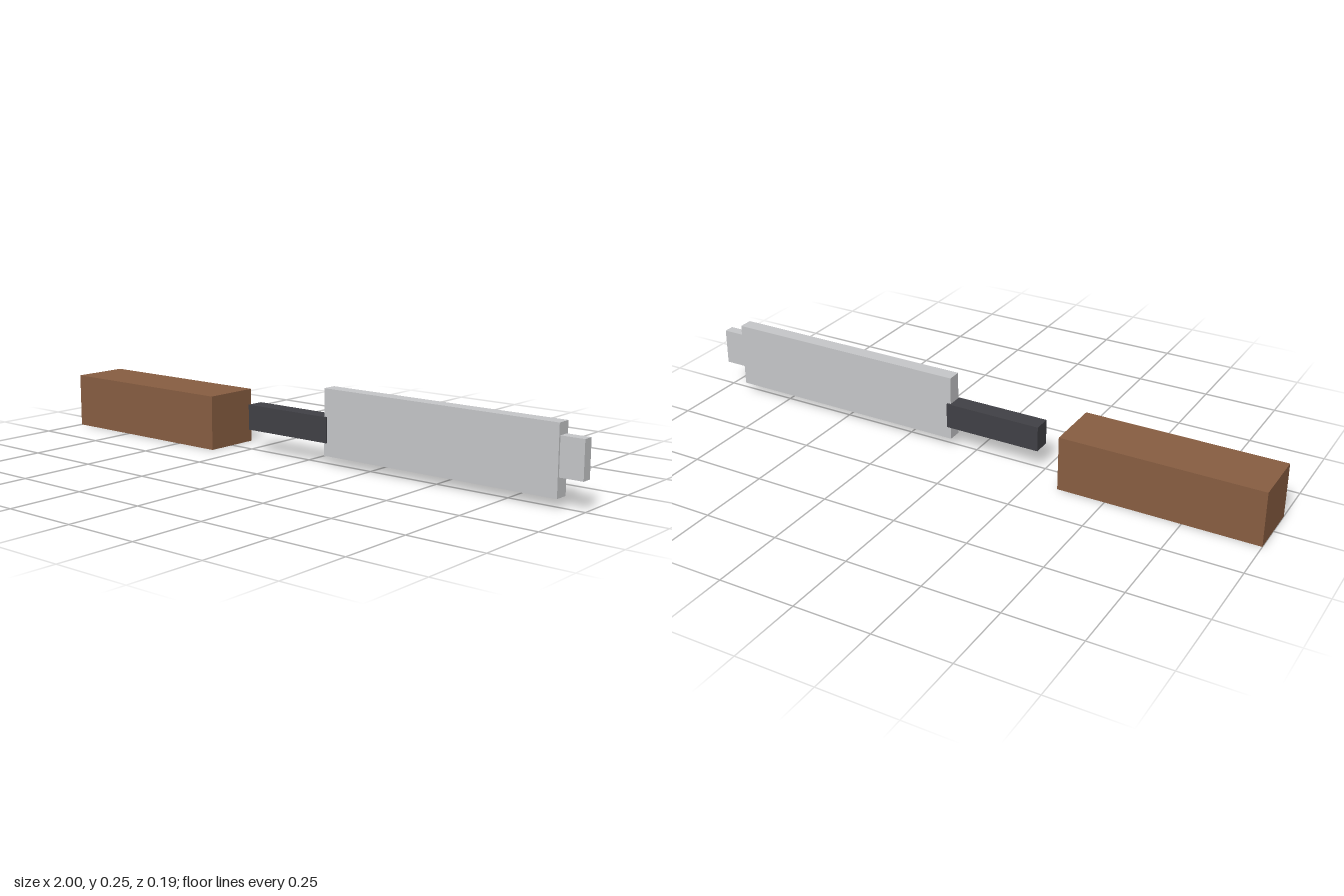
import * as THREE from 'three';

const material = (name, color) => {
  const m = new THREE.MeshStandardMaterial({ color });
  m.name = name;
  return m;
};

export function createModel() {
  const wood = material('brown wood', 0x875d41);
  const steel = material('light steel', 0xc5c6c8);
  const dark = material('dark metal', 0x404045);
  const model = new THREE.Group();
  model.name = 'knife';

  // Box given by its x and y ranges and its depth, centred on z = 0
  const block = (name, mat, x0, x1, y0, y1, depth) => {
    const mesh = new THREE.Mesh(new THREE.BoxGeometry(x1 - x0, y1 - y0, depth), mat);
    mesh.position.set((x0 + x1) / 2, (y0 + y1) / 2, 0);
    mesh.name = name;
    model.add(mesh);
  };

  // Handle, separate from the rest
  block('handle', wood, -1, -0.34, 0, 0.181, 0.192);
  // Collar slightly overlapping the base of the blade
  block('collar', dark, -0.235, 0.095, 0.073, 0.157, 0.06);
  // Blade and its narrower tip
  block('blade', steel, 0.083, 0.923, 0.03, 0.248, 0.048);
  block('bladeTip', steel, 0.915, 1, 0.091, 0.211, 0.035);

  return model;
}
